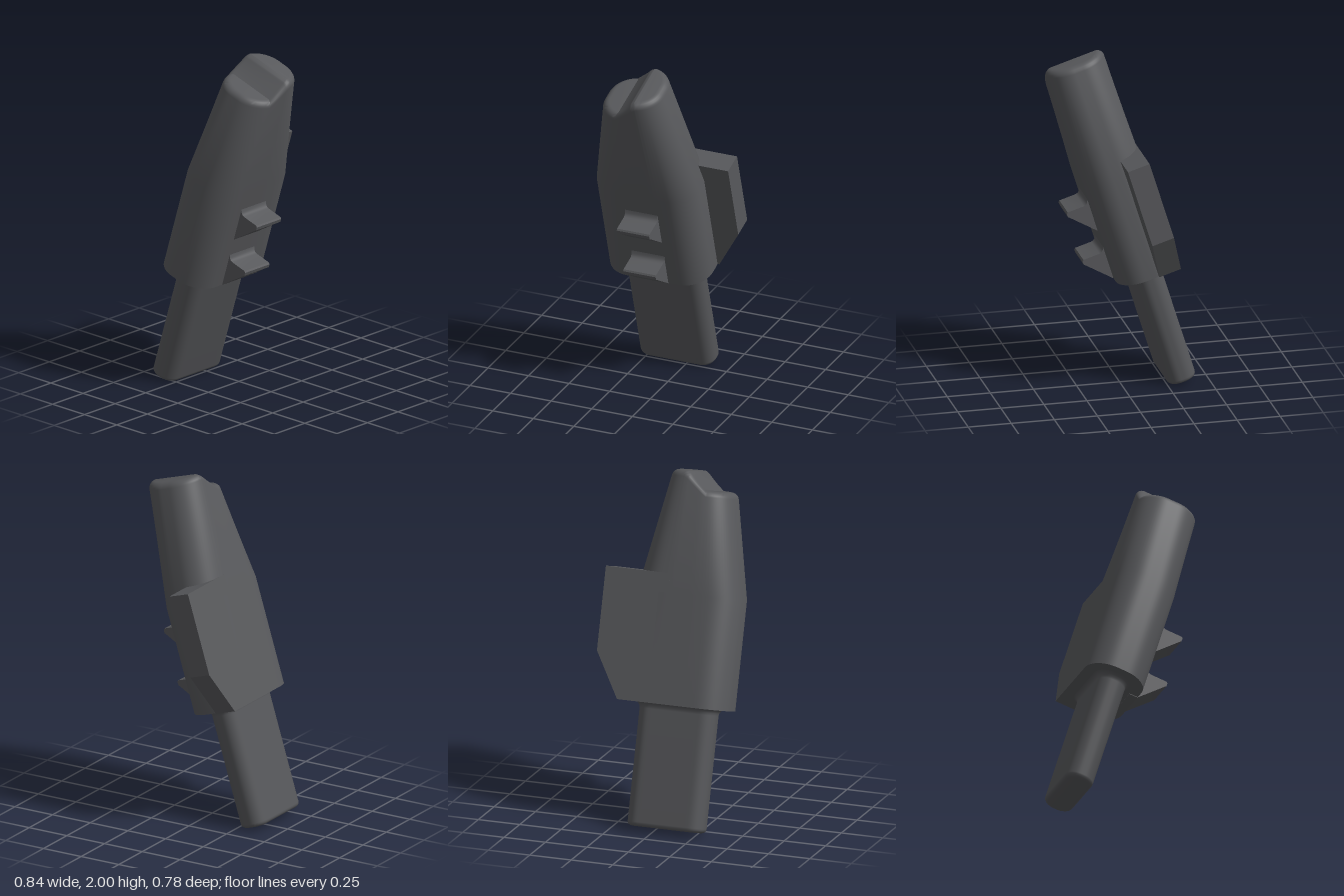
import * as THREE from 'three';
import { toCreasedNormals } from 'three/addons/utils/BufferGeometryUtils.js';

const material = new THREE.MeshStandardMaterial({ color: 0x58595c });
const TILT = 0.3;

// Depth samples from back (-1) to front (+1), denser towards the ends.
const STEPS = 40;
const samples = [-0.35, -0.2, 0.4];
for (let i = 0; i <= STEPS; i++) samples.push(Math.sin((i / STEPS - 0.5) * Math.PI));
samples.sort((a, b) => a - b);

// Half width of a rounded rectangle at depth z.
function halfWidth(z, W, D, R) {
  const d = Math.abs(z) - (D - R);
  return d <= 0 ? W : W - R + Math.sqrt(Math.max(0, R * R - d * d));
}

// Loft of mirrored rounded-rectangle rings. Each ring maps a depth sample
// to { v: height, D: half depth, e: inset }.
function loft(cx, cz, W, R, rings) {
  const n = samples.length, M = 2 * n, pos = [], index = [];
  for (const ring of rings) {
    const half = samples.map((t) => {
      const { v, D, e } = ring(t);
      const z = t * (D - e);
      return [halfWidth(z, W - e, D - e, R - e), v, z];
    });
    for (const [x, y, z] of half) pos.push(cx + x, y, cz + z);
    for (const [x, y, z] of half.reverse()) pos.push(cx - x, y, cz + z);
  }
  for (let k = 0; k < rings.length - 1; k++) {
    for (let i = 0; i < M; i++) {
      const a = k * M + i, b = k * M + (i + 1) % M, c = a + M, d = b + M;
      index.push(a, c, b, b, c, d);
    }
  }
  // End caps: strips joining mirrored points
  const top = (rings.length - 1) * M;
  for (let i = 0; i < n - 1; i++) {
    const r = i, r1 = i + 1, l = M - 1 - i, l1 = l - 1;
    index.push(top + l, top + l1, top + r, top + l1, top + r1, top + r);
    index.push(l, r, l1, l1, r, r1);
  }
  const geo = new THREE.BufferGeometry();
  geo.setAttribute('position', new THREE.Float32BufferAttribute(pos, 3));
  geo.setIndex(index);
  return toCreasedNormals(geo, 0.6);
}

function extrude(points, depth) {
  const shape = new THREE.Shape(points.map(([x, y]) => new THREE.Vector2(x, y)));
  return new THREE.ExtrudeGeometry(shape, { depth, bevelEnabled: false });
}

// Height of the stepped top over depth z (relative to the body centre).
function topHeight(z) {
  const steps = [[-0.0525, 1.948], [-0.03, 1.935], [0.06, 1.845]];
  if (z <= steps[0][0]) return steps[0][1];
  for (let i = 1; i < steps.length; i++) {
    const [z0, h0] = steps[i - 1], [z1, h1] = steps[i];
    if (z <= z1) return h0 + (h1 - h0) * (z - z0) / (z1 - z0);
  }
  return 1.845;
}

function bodyGeometry() {
  const f = 0.035;
  const rings = [0.62, 1.25].map((v) => () => ({ v, D: 0.31, e: 0 }));
  // Tapered top with a rounded rim
  for (let k = 0; k <= 5; k++) {
    const a = k / 5 * Math.PI / 2;
    rings.push((t) => {
      const v = topHeight(t * 0.15) - f * (1 - Math.sin(a));
      return { v, D: 0.31 - 0.2 * (v - 1.25), e: f * (1 - Math.cos(a)) };
    });
  }
  return loft(-0.3265, 0.08, 0.1775, 0.15, rings);
}

function tangGeometry() {
  const f = 0.025, rings = [];
  // Rounded lower end
  for (let k = 0; k <= 4; k++) {
    const a = k / 4 * Math.PI / 2;
    rings.push(() => ({ v: -0.083 + f * (1 - Math.cos(a)), D: 0.23, e: f * (1 - Math.sin(a)) }));
  }
  // Flare into the body
  for (let k = 0; k <= 4; k++) {
    const a = k / 4 * Math.PI / 2;
    rings.push(() => ({ v: 0.585 + 0.037 * Math.sin(a), D: 0.23, e: -0.035 * (1 - Math.cos(a)) }));
  }
  return loft(-0.331, 0.076, 0.085, 0.075, rings);
}

export function createModel() {
  const model = new THREE.Group();
  const tilted = new THREE.Group();
  tilted.name = 'tiltedAssembly';
  tilted.rotation.z = -TILT;
  model.add(tilted);

  function add(name, geometry) {
    const mesh = new THREE.Mesh(geometry, material);
    mesh.name = name;
    tilted.add(mesh);
    return mesh;
  }

  add('body', bodyGeometry());
  add('tang', tangGeometry());

  // Fin on the back, flush with one flat side of the body
  const fin = extrude([[0, 0.62], [0.24, 0.62], [0.39, 0.88], [0.39, 1.36], [0, 1.36]], 0.131);
  fin.rotateY(Math.PI / 2);
  add('backFin', fin).position.x = -0.504;

  // Two hooked catches on the opposite side
  const hook = extrude([
    [-0.2, 0.925], [-0.15, 0.925], [-0.022, 1.062], [-0.013, 1.07], [-0.012, 1.09], [-0.02, 1.098],
    [-0.118, 1.098], [-0.132, 1.102], [-0.142, 1.112], [-0.149, 1.13], [-0.2, 1.13],
  ], 0.2);
  const hookGeometry = toCreasedNormals(hook, 0.6);
  [['upperCatch', 0], ['lowerCatch', -0.308]].forEach(([name, dy]) => {
    add(name, hookGeometry).position.set(0, dy, -0.02);
  });

  return model;
}
